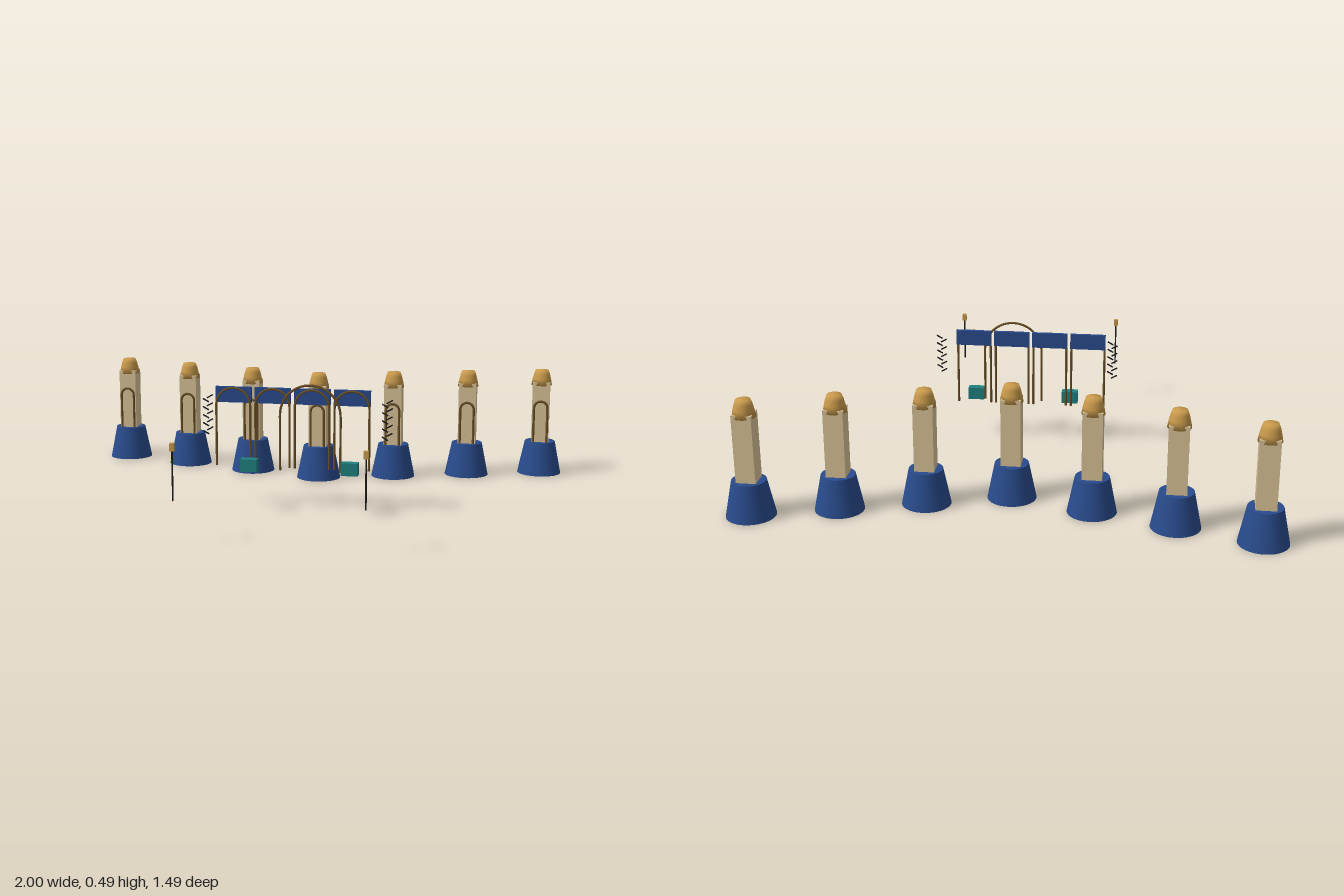
import * as THREE from 'three';

const mat = (color) => new THREE.MeshStandardMaterial({ color });
const BLUE = mat(0x294b8c), CREAM = mat(0xd8c296), GOLD = mat(0xc99a4c);
const BRONZE = mat(0x6b5028), TEAL = mat(0x1f7f80), DARK = mat(0x1c1c1e);

function add(parent, name, geometry, material, x, y, z) {
  const mesh = new THREE.Mesh(geometry, material);
  mesh.name = name;
  mesh.position.set(x, y, z);
  parent.add(mesh);
  return mesh;
}

// Round-headed arch tube: two straight legs joined by a semicircle
function archGeometry(halfWidth, bottom, top, tube) {
  const spring = top - halfWidth;
  const path = new THREE.CurvePath();
  const v = (x, y) => new THREE.Vector3(x, y, 0);
  const arc = [];
  for (let i = 0; i <= 16; i++) {
    const a = Math.PI * (1 - i / 16);
    arc.push(v(halfWidth * Math.cos(a), spring + halfWidth * Math.sin(a)));
  }
  path.add(new THREE.LineCurve3(v(-halfWidth, bottom), arc[0]));
  path.add(new THREE.CatmullRomCurve3(arc));
  path.add(new THREE.LineCurve3(arc[16], v(halfWidth, bottom)));
  return new THREE.TubeGeometry(path, 72, tube, 8, false);
}

// Tower: flared base, square shaft, domed cap and front arch
function makeTower() {
  const tower = new THREE.Group();
  tower.name = 'tower';
  add(tower, 'towerBase', new THREE.CylinderGeometry(0.063, 0.091, 0.137, 32), BLUE, 0, 0.0685, 0);
  add(tower, 'towerShaft', new THREE.BoxGeometry(0.073, 0.257, 0.073), CREAM, 0, 0.2635, 0);
  const profile = [[0, 0.378], [0.043, 0.378], [0.038, 0.405], [0.033, 0.425], [0.027, 0.442], [0, 0.444]]
    .map(([r, y]) => new THREE.Vector2(r, y));
  add(tower, 'towerCap', new THREE.LatheGeometry(profile, 24), GOLD, 0, 0, 0);
  add(tower, 'towerArch', archGeometry(0.028, 0.137, 0.312, 0.005), BRONZE, 0, 0, 0.039);
  return tower;
}

// Hanging vine: small thin leaves in a zigzag
function makeVine() {
  const vine = new THREE.Group();
  vine.name = 'vine';
  for (let i = 0; i < 10; i++) {
    const side = i % 2 ? 1 : -1;
    const leaf = add(vine, 'vineLeaf', new THREE.BoxGeometry(0.026, 0.005, 0.003), DARK,
      side * 0.008, 0.288 + i * 0.0155, 0);
    leaf.rotation.z = side * 0.5;
  }
  return vine;
}

// Lantern on a slender pole
function makeLantern() {
  const lantern = new THREE.Group();
  lantern.name = 'lantern';
  add(lantern, 'lanternPole', new THREE.CylinderGeometry(0.003, 0.003, 0.18, 8), DARK, 0, 0.245, 0);
  add(lantern, 'lanternHead', new THREE.BoxGeometry(0.016, 0.028, 0.016), GOLD, 0, 0.344, 0);
  return lantern;
}

export function createModel() {
  const model = new THREE.Group();
  model.name = 'towerCourt';

  // V-shaped row of seven towers
  for (let i = -3; i <= 3; i++) {
    const tower = makeTower();
    tower.position.set(i * 0.303, 0, -0.386 - Math.abs(i) * 0.09);
    model.add(tower);
  }

  // Arcade: four panels, each with an arch in front
  for (let i = 0; i < 4; i++) {
    const x = -0.23 + i * 0.152;
    add(model, 'arcadePanel', new THREE.BoxGeometry(0.139, 0.06, 0.014), BLUE, x, 0.435, 0.163);
    add(model, 'arcadeArch', archGeometry(0.066, 0.16, 0.461, 0.0045), BRONZE, x, 0, 0.172);
  }

  // Large free-standing arch
  add(model, 'gateArch', archGeometry(0.115, 0.16, 0.486, 0.0045), BRONZE, 0.075, 0, 0.214);

  // Planter blocks, vines and lanterns
  for (const x of [-0.155, 0.228])
    add(model, 'planter', new THREE.BoxGeometry(0.064, 0.048, 0.036), TEAL, x, 0.179, 0.23);
  for (const x of [-0.327, 0.36]) {
    const vine = makeVine();
    vine.position.set(x, 0, 0.179);
    model.add(vine);
  }
  for (const x of [-0.307, 0.362]) {
    const lantern = makeLantern();
    lantern.position.set(x, 0, 0.736);
    model.add(lantern);
  }
  return model;
}
